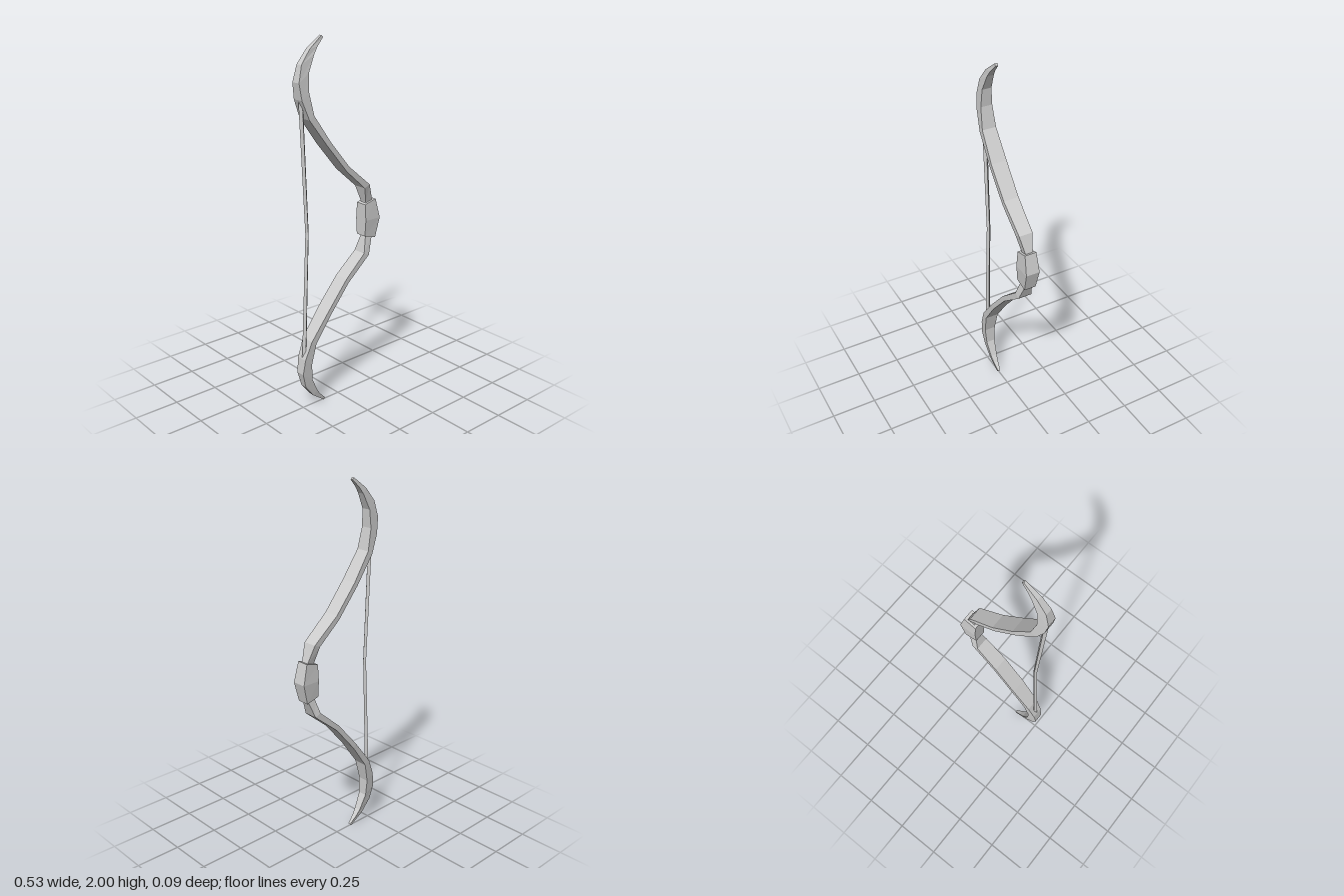
import * as THREE from 'three';

// Skin four-cornered rings, listed bottom to top, and cap both ends
function loft(rings, material, name) {
  const pos = [];
  const quad = (a, b, c, d) => [a, b, c, a, c, d].forEach((p) => pos.push(...p));
  for (let i = 0; i < rings.length - 1; i++) {
    const lo = rings[i], hi = rings[i + 1];
    for (let k = 0; k < 4; k++) {
      const n = (k + 1) % 4;
      quad(lo[k], lo[n], hi[n], hi[k]);
    }
  }
  quad(...[...rings[0]].reverse());
  quad(...rings[rings.length - 1]);
  const geometry = new THREE.BufferGeometry();
  geometry.setAttribute('position', new THREE.Float32BufferAttribute(pos, 3));
  geometry.computeVertexNormals();
  const mesh = new THREE.Mesh(geometry, material);
  mesh.name = name;
  return mesh;
}

// Flip rings about the middle height, keeping them bottom to top
const mirror = (rings) => rings.map((r) => r.map(([x, y, z]) => [x, 2 - y, z])).reverse();

// Rectangular ring from an inner (string side) and outer edge point
const slab = ([xi, yi, xo, yo, w]) => [[xi, yi, w], [xo, yo, w], [xo, yo, -w], [xi, yi, -w]];

const diamond = (x, y, r) => [[x, y, r], [x + r, y, 0], [x, y, -r], [x - r, y, 0]];

export function createModel() {
  const grey = new THREE.MeshStandardMaterial({ color: 0xcccccc, flatShading: true });
  grey.name = 'plain grey';
  const bow = new THREE.Group();
  bow.name = 'bow';

  // Recurved limb: inner x, y, outer x, y, half width
  const limb = [
    [0.185, 1.04, 0.23, 1.04, 0.02],
    [0.18, 1.10, 0.227, 1.10, 0.02],
    [0.155, 1.185, 0.19, 1.2, 0.039],
    [0.025, 1.30, 0.04, 1.325, 0.043],
    [-0.105, 1.455, -0.085, 1.475, 0.044],
    [-0.215, 1.60, -0.185, 1.62, 0.039],
    [-0.255, 1.70, -0.21, 1.735, 0.032],
    [-0.267, 1.785, -0.205, 1.83, 0.026],
    [-0.245, 1.87, -0.165, 1.915, 0.019],
    [-0.19, 1.94, -0.14, 1.95, 0.014],
    [-0.11, 2.0, -0.1, 1.99, 0.007],
  ].map(slab);
  bow.add(loft(limb, grey, 'upperLimb'), loft(mirror(limb), grey, 'lowerLimb'));

  // Grip, swelling at mid height
  const gripTop = slab([0.165, 1.09, 0.24, 1.11, 0.033]);
  const gripMiddle = slab([0.165, 1.0, 0.267, 1.0, 0.039]);
  bow.add(loft([...mirror([gripTop]), gripMiddle, gripTop], grey, 'grip'));

  // String, slightly drawn towards the grip at mid height
  const stringTop = diamond(-0.239, 1.7, 0.014);
  bow.add(loft([...mirror([stringTop]), diamond(-0.209, 1, 0.011), stringTop], grey, 'bowString'));

  return bow;
}
